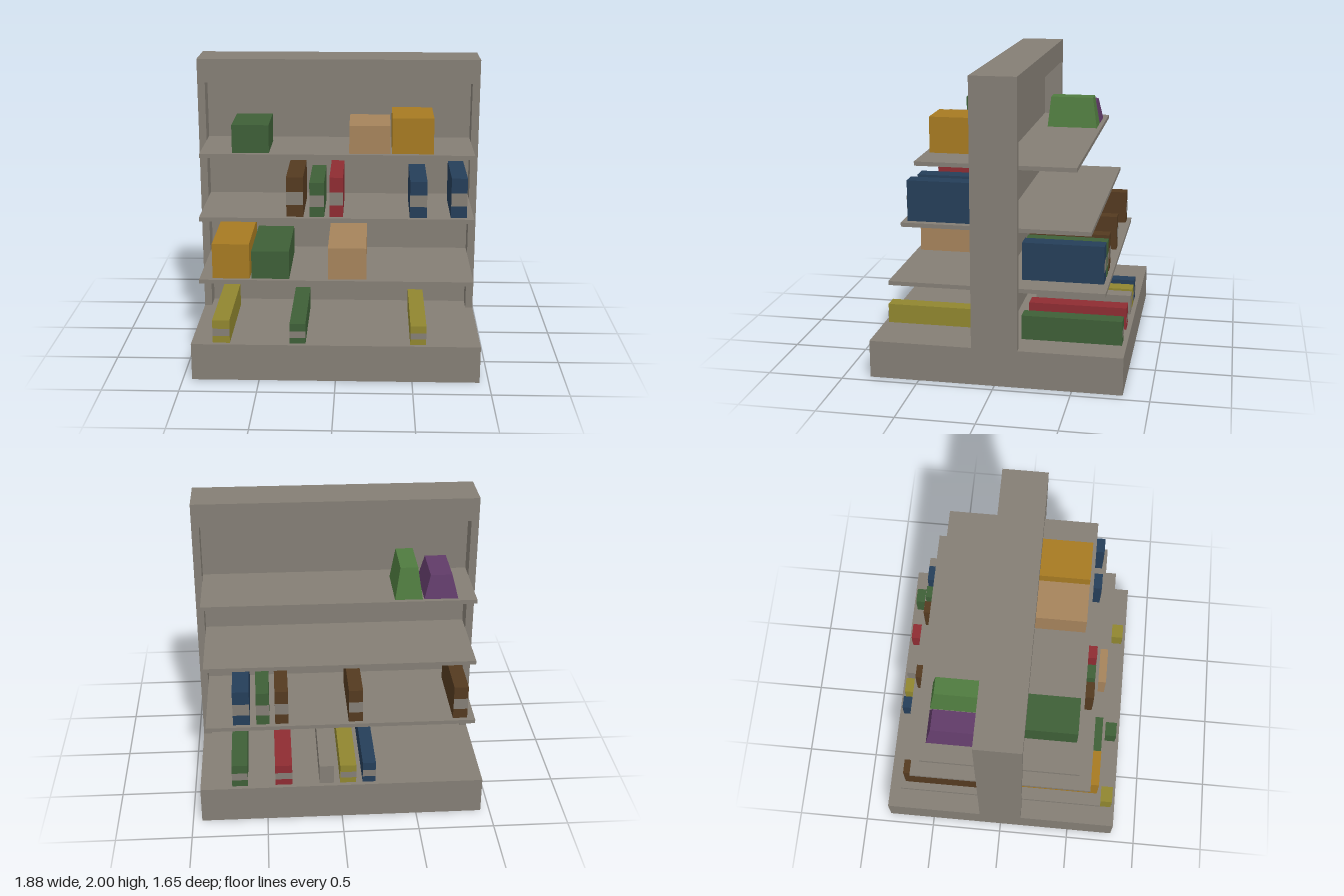
import * as THREE from 'three';

const flat = (name, color) => {
  const m = new THREE.MeshStandardMaterial({ color });
  m.name = name;
  return m;
};

export function createModel() {
  const model = new THREE.Group();
  model.name = 'shopShelf';

  const grey = flat('grey', 0x847e75);
  const green = flat('green', 0x3e5f37);
  const lime = flat('lightGreen', 0x4f7b3f);
  const tan = flat('tan', 0xa5835b);
  const orange = flat('orange', 0xa67a22);
  const olive = flat('olive', 0x90862f);
  const blue = flat('blue', 0x253e59);
  const brown = flat('brown', 0x543a20);
  const red = flat('red', 0x8e2c32);
  const purple = flat('purple', 0x603b68);
  grey.side = THREE.DoubleSide;

  const add = (name, geometry, material) => {
    const mesh = new THREE.Mesh(geometry, material);
    mesh.name = name;
    model.add(mesh);
    return mesh;
  };

  // Box given by its lower and upper limits on each axis
  const block = (name, material, x0, x1, y0, y1, z0, z1) => {
    const g = new THREE.BoxGeometry(x1 - x0, y1 - y0, z1 - z0);
    g.translate((x0 + x1) / 2, (y0 + y1) / 2, (z0 + z1) / 2);
    return add(name, g, material);
  };

  // Plinth: a hollow shell without a bottom face
  const plinth = block('plinth', grey, -0.94, 0.94, 0, 0.25, -0.825, 0.825).geometry;
  const index = Array.from(plinth.index.array);
  index.splice(18, 6);
  plinth.setIndex(index);
  plinth.clearGroups();

  // Upright frame and its recessed panel
  for (const s of [-1, 1]) {
    block('post', grey, s * 0.915 - 0.025, s * 0.915 + 0.025, 0, 2, -0.15, 0.15);
  }
  block('topBeam', grey, -0.89, 0.89, 1.84, 2, -0.15, 0.15);
  block('panel', grey, -0.89, 0.89, 0.25, 1.84, -0.025, 0.025);

  // Shelves get shallower towards the top, on both sides of the panel
  for (const [y, depth] of [[0.65, 0.7], [1.045, 0.607], [1.445, 0.512]]) {
    for (const s of [-1, 1]) {
      const z = [s * 0.025, s * depth].sort((a, b) => a - b);
      block('shelf', grey, -0.89, 0.89, y - 0.027, y, ...z);
    }
  }

  // Plain and labelled goods; side is 1 for the front and -1 for the back
  const goods = (name, side, y, depth, labelled, items) => {
    for (const [material, x0, x1, top] of items) {
      const z = [side * 0.14, side * depth].sort((a, b) => a - b);
      block(name, material, x0, x1, y, top, ...z);
      if (!labelled) continue;
      const h = top - y;
      const label = add('label', new THREE.PlaneGeometry(x1 - x0, h * 0.33), grey);
      label.position.set((x0 + x1) / 2, y + h * 0.465, side * (depth + 0.002));
      if (side < 0) label.rotation.y = Math.PI;
    }
  };

  // Front side
  goods('box', 1, 1.445, 0.48, false, [
    [green, -0.68, -0.44, 1.63], [tan, 0.08, 0.345, 1.63], [orange, 0.357, 0.625, 1.68],
  ]);
  goods('pack', 1, 1.045, 0.575, true, [
    [brown, -0.325, -0.215, 1.31], [green, -0.175, -0.08, 1.275], [red, -0.045, 0.042, 1.31],
    [blue, 0.475, 0.585, 1.287], [blue, 0.74, 0.843, 1.31],
  ]);
  goods('box', 1, 0.65, 0.67, false, [
    [orange, -0.805, -0.563, 0.885], [green, -0.55, -0.305, 0.838], [tan, -0.053, 0.197, 0.863],
  ]);
  goods('carton', 1, 0.25, 0.797, true, [
    [olive, -0.8, -0.688, 0.407], [green, -0.298, -0.195, 0.387], [olive, 0.485, 0.588, 0.38],
  ]);

  // Back side
  goods('pack', -1, 0.65, 0.67, true, [
    [brown, -0.84, -0.745, 0.885], [brown, -0.145, -0.052, 0.885], [brown, 0.345, 0.433, 0.895],
    [green, 0.47, 0.557, 0.885], [blue, 0.6, 0.71, 0.9],
  ]);
  goods('carton', -1, 0.25, 0.795, true, [
    [blue, -0.225, -0.138, 0.4], [olive, -0.095, 0.012, 0.385], [grey, 0.053, 0.15, 0.385],
    [red, 0.33, 0.443, 0.4], [green, 0.625, 0.73, 0.412],
  ]);

  // Bags: blocks whose top edges are drawn inwards
  for (const [material, x0, x1, top, inset] of [
    [purple, -0.77, -0.55, 1.6, 0.04], [lime, -0.54, -0.36, 1.657, 0.033],
  ]) {
    const p = block('bag', material, x0, x1, 1.445, top, -0.483, -0.13).geometry.attributes.position;
    const mid = (x0 + x1) / 2;
    for (let i = 0; i < p.count; i++) {
      if (p.getY(i) < 1.5) continue;
      p.setX(i, p.getX(i) - Math.sign(p.getX(i) - mid) * inset);
      p.setZ(i, p.getZ(i) + (p.getZ(i) < -0.3 ? 0.033 : -0.02));
    }
    model.children[model.children.length - 1].geometry.computeVertexNormals();
  }

  return model;
}
